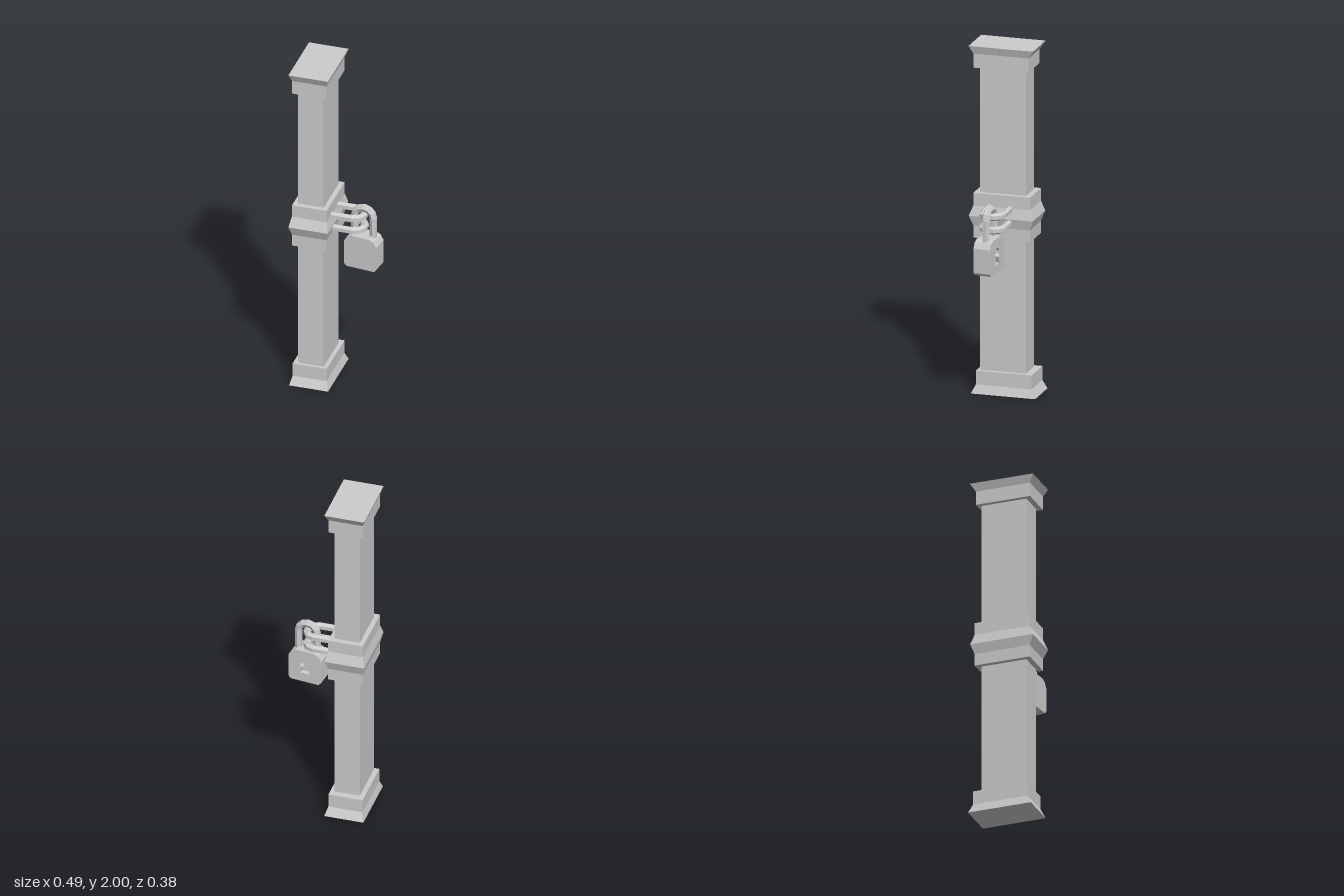
import * as THREE from 'three';

const material = new THREE.MeshStandardMaterial({ color: 0xcccccc, flatShading: true });

function add(parent, name, geometry) {
  const mesh = new THREE.Mesh(geometry, material);
  mesh.name = name;
  parent.add(mesh);
  return mesh;
}

// Rectangular column through sections [y, x0, x1, z0, z1], listed bottom to top
function loft(sections) {
  const n = sections.length - 1;
  const geo = new THREE.BoxGeometry(1, 1, 1, 1, n, 1);
  const p = geo.attributes.position;
  for (let i = 0; i < p.count; i++) {
    const [y, x0, x1, z0, z1] = sections[Math.round((p.getY(i) + 0.5) * n)];
    p.setXYZ(i, p.getX(i) > 0 ? x1 : x0, y, p.getZ(i) > 0 ? z1 : z0);
  }
  geo.computeVertexNormals();
  return geo;
}

// U-shaped hexagonal bar in the XY plane: legs run from y = -leg to 0, then a half turn
function uBar(halfWidth, rise, leg, radius, steps) {
  const path = [new THREE.Vector2(halfWidth, -leg)];
  for (let i = 0; i <= steps; i++) {
    const a = (i / steps) * Math.PI;
    path.push(new THREE.Vector2(Math.cos(a) * halfWidth, Math.sin(a) * rise));
  }
  path.push(new THREE.Vector2(-halfWidth, -leg));
  const sides = 6, pos = [], index = [];
  path.forEach((pt, i) => {
    const before = pt.clone().sub(path[Math.max(i - 1, 0)]).normalize();
    const after = path[Math.min(i + 1, path.length - 1)].clone().sub(pt).normalize();
    const dir = before.clone().add(after).normalize();
    const ref = before.lengthSq() > 0 ? before : after;
    const mitre = 1 / dir.dot(ref);
    for (let k = 0; k < sides; k++) {
      const a = (k / sides) * Math.PI * 2;
      const out = Math.sin(a) * radius * mitre;
      pos.push(pt.x + dir.y * out, pt.y - dir.x * out, Math.cos(a) * radius);
    }
  });
  for (let i = 0; i < path.length - 1; i++) {
    for (let k = 0; k < sides; k++) {
      const a = i * sides + k, b = i * sides + (k + 1) % sides;
      index.push(a, b, a + sides, b, b + sides, a + sides);
    }
  }
  // End caps, inside the neighbouring parts
  const last = (path.length - 1) * sides;
  for (let k = 1; k < sides - 1; k++) {
    index.push(0, k + 1, k, last, last + k, last + k + 1);
  }
  const geo = new THREE.BufferGeometry();
  geo.setAttribute('position', new THREE.Float32BufferAttribute(pos, 3));
  geo.setIndex(index);
  geo.computeVertexNormals();
  return geo;
}

// Padlock outline: rounded shoulders and small chamfers at the foot
function lockOutline() {
  const w = 0.098, h = 0.1;
  return new THREE.Shape([
    [-w + 0.014, -h], [w - 0.014, -h], [w, -h + 0.016],
    [w, h - 0.044], [w - 0.018, h - 0.012], [w - 0.045, h],
    [-w + 0.045, h], [-w + 0.018, h - 0.012], [-w, h - 0.044], [-w, -h + 0.016],
  ].map(([x, y]) => new THREE.Vector2(x, y)));
}

// Keyhole: round top with a flared slot below
function keyhole() {
  const pts = [new THREE.Vector2(-0.03, -0.047), new THREE.Vector2(0.03, -0.047)];
  for (let i = 0; i <= 8; i++) {
    const a = -Math.PI * 0.33 + (i / 8) * Math.PI * 1.66;
    pts.push(new THREE.Vector2(Math.cos(a) * 0.03, 0.015 + Math.sin(a) * 0.03));
  }
  return new THREE.Path(pts);
}

export function createModel() {
  const model = new THREE.Group();
  model.name = 'lockedPost';

  // Post with flared base, ridged middle band and flared cap
  const post = new THREE.Group();
  post.name = 'post';
  model.add(post);
  add(post, 'shaft', loft([
    [0.05, -0.203, -0.056, -0.127, 0.138],
    [1.95, -0.203, -0.056, -0.127, 0.138],
  ]));
  add(post, 'base', loft([
    [0, -0.243, -0.017, -0.193, 0.18],
    [0.05, -0.23, -0.033, -0.167, 0.155],
    [0.13, -0.23, -0.033, -0.167, 0.155],
  ]));
  add(post, 'middleBand', loft([
    [0.895, -0.23, -0.029, -0.159, 0.168],
    [0.965, -0.23, -0.029, -0.159, 0.168],
    [1.022, -0.243, -0.015, -0.18, 0.192],
    [1.081, -0.23, -0.029, -0.159, 0.168],
    [1.153, -0.23, -0.029, -0.159, 0.168],
  ]));
  add(post, 'cap', loft([
    [1.873, -0.228, -0.029, -0.152, 0.169],
    [1.954, -0.228, -0.029, -0.152, 0.169],
    [2, -0.243, -0.014, -0.182, 0.192],
  ]));

  // Two hasp loops reaching out of the band
  const loop = uBar(0.0585, 0.054, 0.15, 0.0215, 5);
  for (const [name, y] of [['upperLoop', 1.075], ['lowerLoop', 0.998]]) {
    const mesh = add(model, name, loop);
    mesh.rotation.set(Math.PI / 2, 0, -Math.PI / 2);
    mesh.position.set(0.09, y, 0.0182);
  }

  // Padlock, turned slightly
  const padlock = new THREE.Group();
  padlock.name = 'padlock';
  padlock.position.set(0.14, 0.857, 0.024);
  padlock.rotation.y = -0.12;
  model.add(padlock);

  const shackle = add(padlock, 'shackle', uBar(0.056, 0.056, 0.14, 0.021, 6));
  shackle.position.set(0, 0.208, -0.006);

  // Solid front part and a back plate pierced by the keyhole
  const half = 0.05, recess = 0.03;
  const front = new THREE.ExtrudeGeometry(lockOutline(), { depth: half * 2 - recess, bevelEnabled: false });
  front.translate(0, 0, recess - half);
  add(padlock, 'lockBody', front);
  const pierced = lockOutline();
  pierced.holes.push(keyhole());
  const back = new THREE.ExtrudeGeometry(pierced, { depth: recess, bevelEnabled: false });
  back.translate(0, 0, -half);
  add(padlock, 'keyholePlate', back);

  return model;
}
